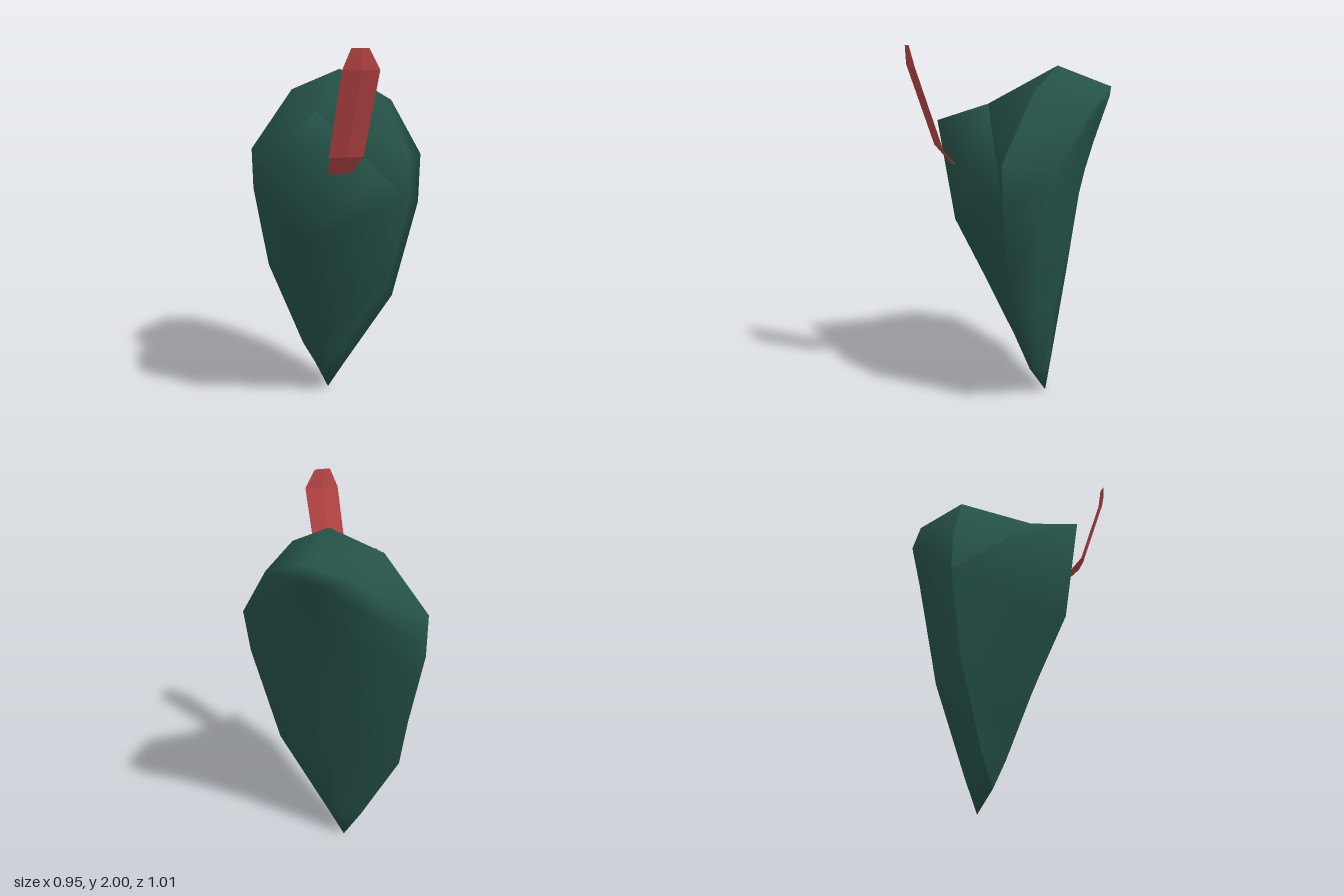
import * as THREE from 'three';
import { mergeVertices } from 'three/addons/utils/BufferGeometryUtils.js';

const green = new THREE.MeshStandardMaterial({ color: 0x255248 });
green.name = 'forest green';
const red = new THREE.MeshStandardMaterial({ color: 0xb84545 });
red.name = 'feather red';

// Collects triangles and quads, skipping collapsed ones.
function faceList() {
  const pos = [];
  const tri = (a, b, c, flip) => {
    if (a === b || b === c || a === c) return;
    pos.push(...a, ...(flip ? c : b), ...(flip ? b : c));
  };
  const quad = (a, b, c, d, flip) => {
    tri(a, b, c, flip);
    tri(a, c, d, flip);
  };
  const mesh = (name, material, smooth) => {
    let g = new THREE.BufferGeometry();
    g.setAttribute('position', new THREE.Float32BufferAttribute(pos, 3));
    if (smooth) g = mergeVertices(g, 1e-4);
    g.computeVertexNormals();
    const m = new THREE.Mesh(g, material);
    m.name = name;
    return m;
  };
  return { tri, quad, mesh };
}

function makeHat() {
  // Centre line of the front keel, from the tail up to the nose
  const keel = [[-0.03, 0.12, -0.07], [-0.02, 0.33, 0.02], [0, 0.7, 0.2],
    [0.02, 1.02, 0.36], [0.025, 1.58, 0.45]];
  // Centre line of the back, from the tail up to the crown
  const spine = [[-0.03, 0, -0.165], [-0.025, 0.18, -0.183], [-0.01, 0.6, -0.225],
    [0, 1.15, -0.335], [0, 1.42, -0.395], [0, 1.68, -0.46], [0.01, 1.79, -0.508]];
  const peak = [0.015, 1.89, -0.225];
  const notch = [0.02, 1.68, 0.155];

  const front = faceList();
  const crown = faceList();
  const shell = faceList();
  for (const s of [1, -1]) {
    const flip = s < 0;
    // Mirrored point, with an optional shift of the middle
    const side = (x, y, z, middle = 0) => [middle + s * x, y, z];
    // Front and rear edges of the leaf-shaped rim
    const rim = [keel[0], side(0.12, 0.3, -0.065, -0.03), side(0.365, 0.76, -0.062),
      side(0.463, 1.21, -0.065, 0.006), side(0.46, 1.44, -0.057), side(0.25, 1.775, -0.16), peak];
    const rear = [spine[0], side(0.11, 0.18, -0.175, -0.03), side(0.362, 0.61, -0.2, -0.012),
      side(0.475, 1.16, -0.26), side(0.463, 1.42, -0.335), side(0.25, 1.71, -0.457), spine[6]];
    const flap = side(0.355, 1.355, 0.145, 0.012);

    // Front panels and turned-up flap
    for (let i = 0; i < 3; i++) front.quad(keel[i], rim[i], rim[i + 1], keel[i + 1], flip);
    front.tri(keel[3], rim[3], flap, flip);
    front.tri(keel[3], flap, keel[4], flip);
    front.tri(keel[4], flap, notch, flip);
    front.tri(flap, rim[3], notch, flip);

    // Crown panel
    for (let i = 3; i < 6; i++) crown.tri(notch, rim[i], rim[i + 1], flip);

    // Rim band and back
    for (let i = 0; i < 6; i++) {
      shell.quad(rim[i], rear[i], rear[i + 1], rim[i + 1], flip);
      shell.quad(rear[i], spine[i], spine[i + 1], rear[i + 1], flip);
    }
  }
  const hat = new THREE.Group();
  hat.name = 'hat';
  hat.add(front.mesh('hatFront', green, true), crown.mesh('hatCrown', green, true),
    shell.mesh('hatBack', green, true));
  return hat;
}

function makeFeather() {
  // Each section: centre x, y, z, half width
  const sections = [[0.205, 1.38, 0.295, 0.058], [0.26, 1.475, 0.352, 0.09],
    [0.365, 1.9, 0.449, 0.094], [0.365, 2, 0.465, 0.044]];
  const thick = 0.01;
  const rings = sections.map(([x, y, z, w]) => [
    [x - 0.8 * w, y, z + 0.6 * w],
    [x + 0.6 * thick, y, z + 0.8 * thick],
    [x + 0.8 * w, y, z - 0.6 * w],
    [x - 0.6 * thick, y, z - 0.8 * thick],
  ]);
  const f = faceList();
  for (let i = 0; i < rings.length - 1; i++) {
    for (let j = 0; j < 4; j++) {
      const k = (j + 1) % 4;
      f.quad(rings[i][j], rings[i][k], rings[i + 1][k], rings[i + 1][j]);
    }
  }
  // End caps
  const [bottom, top] = [rings[0], rings[rings.length - 1]];
  f.quad(bottom[3], bottom[2], bottom[1], bottom[0]);
  f.quad(top[0], top[1], top[2], top[3]);
  return f.mesh('feather', red, false);
}

export function createModel() {
  const group = new THREE.Group();
  group.name = 'featheredHat';
  group.add(makeHat(), makeFeather());
  return group;
}
